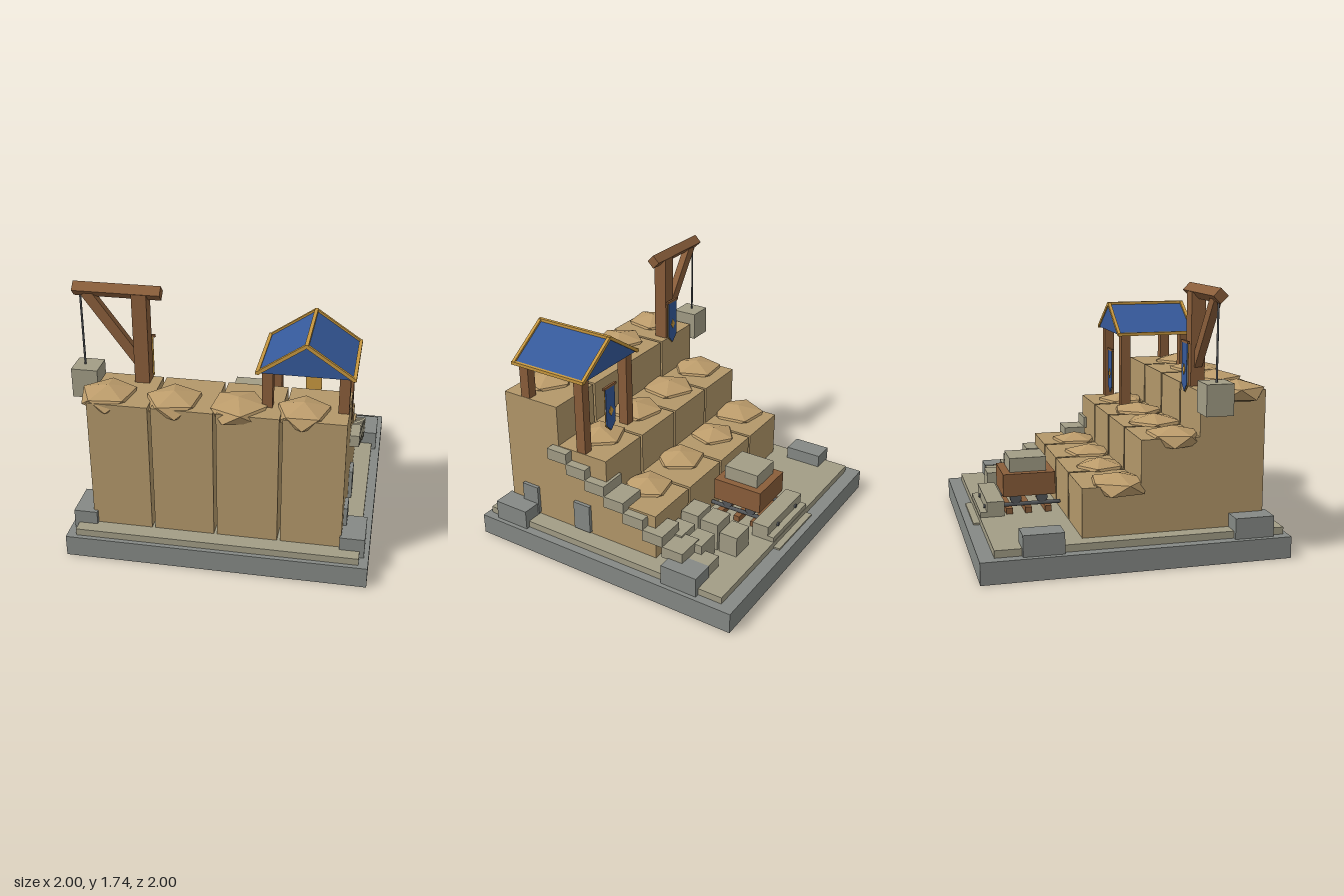
import * as THREE from 'three';

const mat = (name, color) => {
  const m = new THREE.MeshStandardMaterial({ color });
  m.name = name;
  return m;
};

export function createModel() {
  const model = new THREE.Group();
  model.name = 'quarry';

  const slate = mat('slate grey', 0x858985);
  const stone = mat('cut stone', 0xa29d86);
  const cliff = mat('sandstone', 0xb3986a);
  const boulder = mat('boulder tan', 0xbc9c6b);
  const wood = mat('wood', 0x8a5e3a);
  const blue = mat('blue cloth', 0x35599a);
  const gold = mat('gold trim', 0xc8983f);
  const metal = mat('dark metal', 0x55585b);
  boulder.flatShading = true;

  const add = (name, geo, material, parent = model) => {
    const mesh = new THREE.Mesh(geo, material);
    mesh.name = name;
    parent.add(mesh);
    return mesh;
  };
  // Box given by its min and max on each axis
  const box = (name, material, x0, x1, y0, y1, z0, z1, parent) => {
    const mesh = add(name, new THREE.BoxGeometry(x1 - x0, y1 - y0, z1 - z0), material, parent);
    mesh.position.set((x0 + x1) / 2, (y0 + y1) / 2, (z0 + z1) / 2);
    return mesh;
  };
  // Square bar between two points
  const bar = (name, material, a, b, w, d, parent) => {
    const p = new THREE.Vector3(...a), q = new THREE.Vector3(...b);
    const mesh = add(name, new THREE.BoxGeometry(w, p.distanceTo(q), d), material, parent);
    mesh.position.copy(p).add(q).multiplyScalar(0.5);
    mesh.quaternion.setFromUnitVectors(new THREE.Vector3(0, 1, 0), q.sub(p).normalize());
    return mesh;
  };

  // Base, paving and corner blocks
  box('base', slate, -0.973, 1, 0, 0.143, -1, 1);
  box('paving', stone, -0.91, 0.94, 0.143, 0.19, -0.905, 0.97);
  for (const [x0, x1] of [[-0.94, -0.785], [0.81, 0.97]])
    for (const [z0, z1] of [[0.63, 0.89], [-0.735, -0.475]])
      box('cornerBlock', slate, x0, x1, 0.143, 0.28, z0, z1);

  // Three cliff terraces, each split into four columns
  const tiers = [
    { top: 1.08, z0: 0.425, z1: 0.862 },
    { top: 0.795, z0: 0.04, z1: 0.425 },
    { top: 0.51, z0: -0.34, z1: 0.04 },
  ];
  for (const t of tiers)
    for (let i = 0; i < 4; i++) {
      const x = -0.812 + i * 0.413;
      box('cliffColumn', cliff, x, x + 0.392, 0.19, t.top, t.z0, t.z1);
    }
  for (const z of [0.685, 0.243]) box('wallSlab', slate, 0.815, 0.843, 0.205, 0.41, z - 0.065, z + 0.065);

  // Flattened boulders: x, z, ring angle in degrees, ring radius
  const boulders = [
    [[-0.71, 0.70, -25, 0.18], [-0.28, 0.71, -30, 0.18], [0.13, 0.72, -67, 0.185], [0.54, 0.72, -20, 0.17]],
    [[-0.69, 0.285, -58, 0.18], [-0.29, 0.28, -27, 0.185], [0.12, 0.285, -40, 0.18], [0.55, 0.28, -75, 0.17]],
    [[-0.70, -0.08, -45, 0.19], [-0.295, -0.1, -90, 0.16], [0.12, -0.08, -67, 0.17], [0.535, -0.09, -65, 0.165]],
  ];
  boulders.forEach((row, k) => row.forEach(([x, z, deg, r]) => {
    const g = new THREE.IcosahedronGeometry(1, 0);
    g.rotateZ(Math.atan(2 / (1 + Math.sqrt(5))));
    g.rotateY(Math.PI - THREE.MathUtils.degToRad(deg));
    g.scale(r / 0.894, 0.08, r / 0.894);
    add('boulder', g, boulder).position.set(x, tiers[k].top - 0.02, z);
  }));

  // Stairs along the left side
  for (let i = 0; i < 8; i++) {
    const top = 0.79 - 0.0735 * i, z = 0.475 - 0.15 * i;
    box('stairStep', stone, 0.68, 0.88, top - 0.08, top, z - 0.155, z);
  }

  // Cut stone blocks
  for (const [x, z, top] of [[0.365, -0.775, 0.335], [0.365, -0.63, 0.385], [0.365, -0.48, 0.4],
    [0.565, -0.63, 0.34], [0.565, -0.48, 0.36]])
    box('cutBlock', stone, x, x + 0.165, 0.19, top, z, z + 0.13);

  // Loading ledge with steps
  box('ledgeFoot', stone, -0.235, 0.255, 0.143, 0.155, -0.95, -0.9);
  box('ledgeStep', stone, -0.235, 0.255, 0.15, 0.225, -0.902, -0.74);
  box('ledgeTop', stone, -0.235, 0.255, 0.225, 0.293, -0.858, -0.74);

  // Track
  for (const x of [-0.145, 0.115]) {
    const rail = add('rail', new THREE.CylinderGeometry(0.014, 0.014, 0.525, 8), metal);
    rail.rotation.x = Math.PI / 2;
    rail.position.set(x, 0.242, -0.606);
  }
  for (const z of [-0.7, -0.57, -0.435]) box('sleeper', wood, -0.2, 0.17, 0.19, 0.23, z - 0.022, z + 0.022);

  // Cart with its load
  const cart = new THREE.Group();
  cart.name = 'cart';
  model.add(cart);
  box('cartFloor', wood, -0.18, 0.155, 0.305, 0.33, -0.738, -0.382, cart);
  for (const [a, b] of [[-0.18, -0.13], [0.105, 0.155]]) box('cartSide', wood, a, b, 0.33, 0.46, -0.738, -0.382, cart);
  for (const [a, b] of [[-0.738, -0.685], [-0.435, -0.382]]) box('cartEnd', wood, -0.13, 0.105, 0.33, 0.46, a, b, cart);
  box('cartLoad', stone, -0.13, 0.105, 0.33, 0.557, -0.685, -0.435, cart);
  for (const x of [-0.145, 0.115])
    for (const z of [-0.65, -0.47]) {
      const wheel = add('wheel', new THREE.CylinderGeometry(0.04, 0.04, 0.025, 10), metal, cart);
      wheel.rotation.z = Math.PI / 2;
      wheel.position.set(x, 0.285, z);
    }

  // Crane
  const crane = new THREE.Group();
  crane.name = 'crane';
  model.add(crane);
  box('cranePost', wood, -0.585, -0.488, 1.08, 1.69, 0.435, 0.53, crane);
  const beam = box('craneBeam', wood, -0.972, -0.402, 1.658, 1.726, 0.449, 0.517, crane);
  beam.rotation.x = Math.PI / 4;
  bar('craneBrace', wood, [-0.89, 1.675, 0.483], [-0.565, 1.225, 0.483], 0.07, 0.05, crane);
  const rope = add('rope', new THREE.CylinderGeometry(0.007, 0.007, 0.5, 6), metal, crane);
  rope.position.set(-0.93, 1.41, 0.483);
  box('hoistedBlock', stone, -1, -0.825, 0.96, 1.16, 0.395, 0.573, crane);

  // Pavilion
  const pavilion = new THREE.Group();
  pavilion.name = 'pavilion';
  model.add(pavilion);
  for (const x of [0.31, 0.783]) {
    box('pavilionPost', wood, x - 0.033, x + 0.033, 1.08, 1.335, 0.65, 0.72, pavilion);
    box('pavilionPost', wood, x - 0.033, x + 0.033, 0.79, 1.335, 0.205, 0.275, pavilion);
  }
  const gable = new THREE.Shape([[0.25, 1.325], [0.84, 1.325], [0.545, 1.525]].map(p => new THREE.Vector2(...p)));
  add('roof', new THREE.ExtrudeGeometry(gable, { depth: 0.565, bevelEnabled: false }), blue, pavilion).position.z = 0.18;
  const T = 0.022;
  for (const x of [0.25, 0.84]) {
    for (const z of [0.182, 0.743]) bar('gableTrim', gold, [x, 1.326, z], [0.545, 1.527, z], T, T, pavilion);
    bar('eaveTrim', gold, [x, 1.328, 0.172], [x, 1.328, 0.753], T, T, pavilion);
  }
  bar('ridgeTrim', gold, [0.545, 1.526, 0.172], [0.545, 1.526, 0.753], T, T, pavilion);

  // Pointed banners facing the back, gold lining behind blue cloth
  const pennant = (w, h, tip) => new THREE.Shape([[-w, 0], [-w, -h], [0, -h - tip], [w, -h], [w, 0]]
    .map(p => new THREE.Vector2(...p)));
  const plate = (shape, depth) => new THREE.ExtrudeGeometry(shape, { depth, bevelEnabled: false });
  for (const [x, y, z] of [[-0.537, 1.367, 0.412], [0.547, 1.182, 0.195]]) {
    const banner = new THREE.Group();
    banner.name = 'banner';
    banner.position.set(x, y, z);
    model.add(banner);
    box('bannerRod', wood, -0.068, 0.068, -0.008, 0.008, -0.008, 0.008, banner);
    add('bannerLining', plate(pennant(0.053, 0.28, 0.05), 0.006), gold, banner);
    add('bannerCloth', plate(pennant(0.049, 0.275, 0.05), 0.006), blue, banner).position.z = -0.006;
    const diamond = new THREE.Shape([[0, 0.036], [-0.024, 0], [0, -0.036], [0.024, 0]].map(p => new THREE.Vector2(...p)));
    add('bannerDiamond', plate(diamond, 0.004), gold, banner).position.set(0, -0.18, -0.01);
  }
  return model;
}
